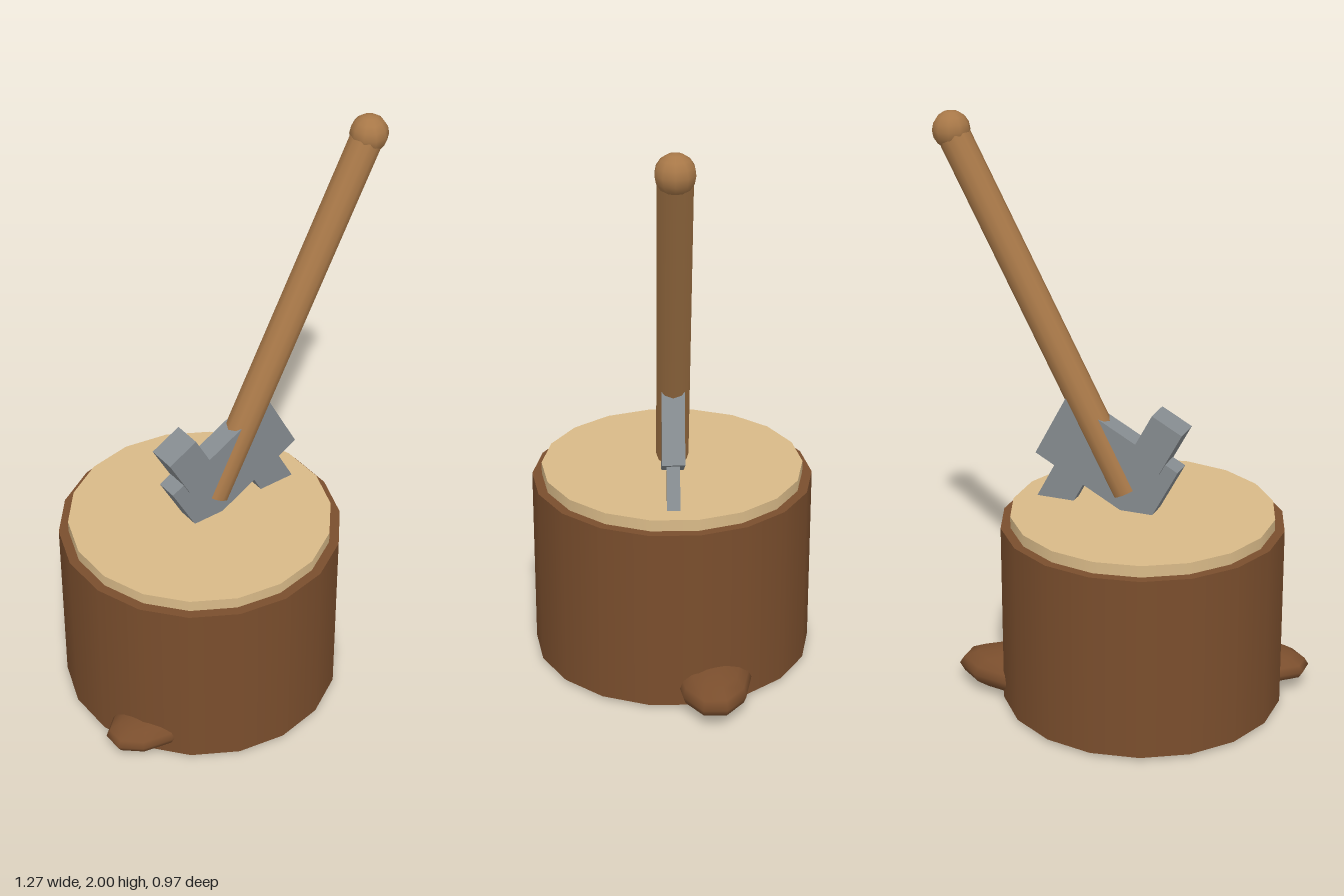
import * as THREE from 'three';

const material = (name, color) => {
  const m = new THREE.MeshStandardMaterial({ color });
  m.name = name;
  return m;
};

export function createModel() {
  const bark = material('bark', 0x7a4e2d);
  const cutWood = material('cut wood', 0xd9ba88);
  const handleWood = material('handle wood', 0xa87848);
  const steel = material('steel', 0x868c90);

  const model = new THREE.Group();
  model.name = 'axeInStump';

  const add = (name, geometry, mat, x, y, z = 0, tilt = 0) => {
    const mesh = new THREE.Mesh(geometry, mat);
    mesh.name = name;
    mesh.position.set(x, y, z);
    mesh.rotation.z = tilt;
    model.add(mesh);
    return mesh;
  };

  // Stump with a paler cut face
  add('stump', new THREE.CylinderGeometry(0.483, 0.483, 0.64, 18), bark, -0.107, 0.33);
  add('cutFace', new THREE.CylinderGeometry(0.45, 0.45, 0.05, 18), cutWood, -0.107, 0.665);

  // Roots: flattened spheres, long axis along x
  const root = (name, x, y, z, rx, ry, rz) => {
    const geometry = new THREE.SphereGeometry(1, 10, 8).rotateY(Math.PI / 2).scale(rx, ry, rz);
    add(name, geometry, bark, x, y, z);
  };
  root('leftRoot', 0.285, 0.073, -0.135, 0.237, 0.073, 0.13);
  root('rightRoot', -0.464, 0.08, 0.215, 0.18, 0.057, 0.113);

  // Axe head: body, poll and blade share one tilt
  const tilt = THREE.MathUtils.degToRad(28);
  add('axeBody', new THREE.BoxGeometry(0.452, 0.242, 0.076), steel, 0.013, 0.855, 0, tilt);
  add('axePoll', new THREE.BoxGeometry(0.119, 0.171, 0.1), steel, -0.168, 0.947, 0, tilt);
  add('axeBlade', new THREE.BoxGeometry(0.119, 0.19, 0.044), steel, 0.19, 0.716, 0, tilt);

  // Handle leans the opposite way and ends in a knob
  const bottom = new THREE.Vector2(-0.052, 0.75);
  const top = new THREE.Vector2(0.57, 1.936);
  const lean = -Math.atan2(top.x - bottom.x, top.y - bottom.y);
  add('handle', new THREE.CylinderGeometry(0.055, 0.055, bottom.distanceTo(top), 12), handleWood,
    (bottom.x + top.x) / 2, (bottom.y + top.y) / 2, 0, lean);
  add('handleKnob', new THREE.SphereGeometry(0.064, 10, 8), handleWood, top.x, top.y);

  return model;
}
